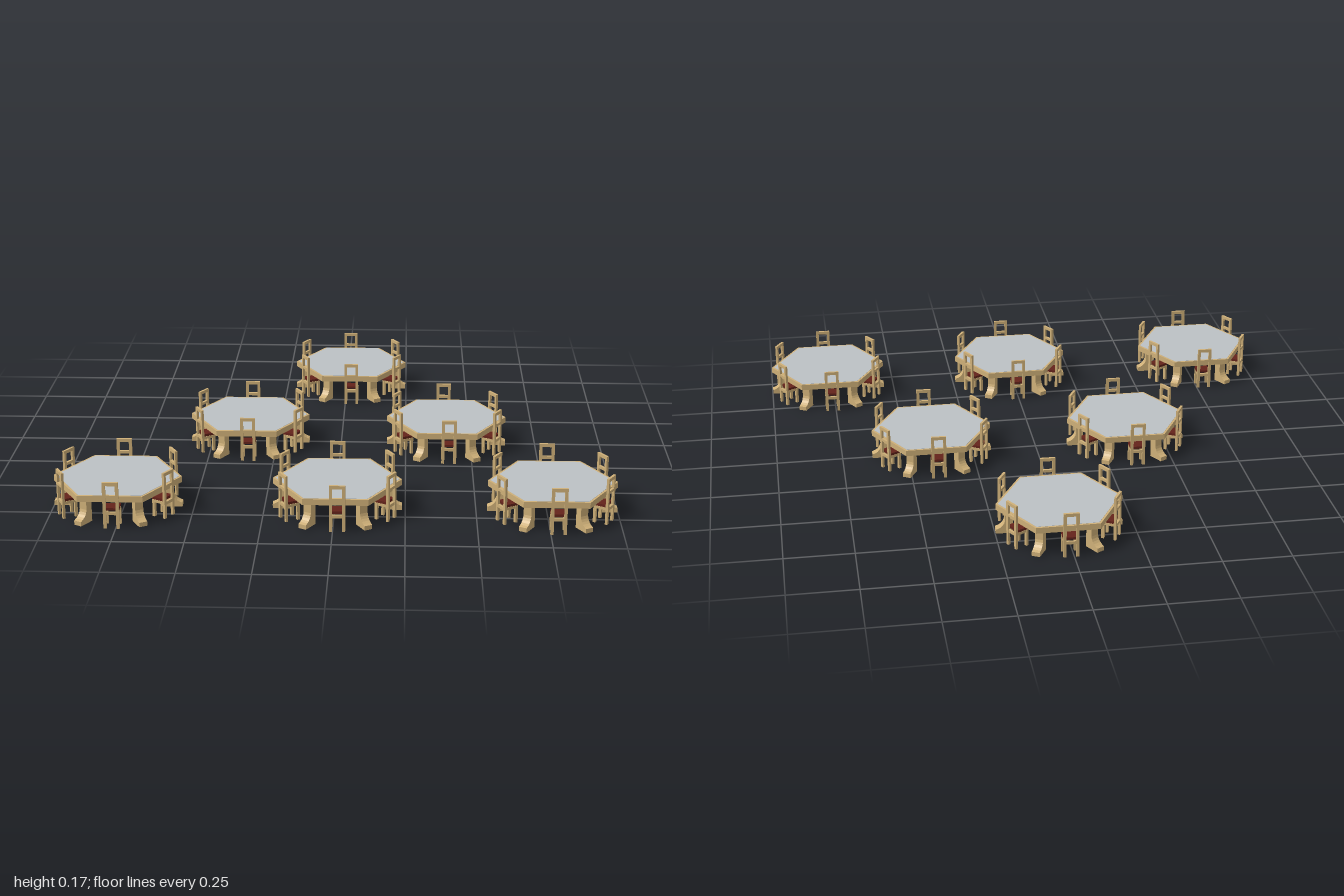
import * as THREE from 'three';

function material(name, color) {
  const m = new THREE.MeshStandardMaterial({ color });
  m.name = name;
  return m;
}

function mesh(name, geometry, mat, x = 0, y = 0, z = 0) {
  const m = new THREE.Mesh(geometry, mat);
  m.name = name;
  m.position.set(x, y, z);
  return m;
}

// Hexagonal slab with corners on the x axis, faceted by its own normals
function hexSlab(radius, height) {
  return new THREE.CylinderGeometry(radius, radius, height, 6).rotateY(Math.PI / 6).toNonIndexed();
}

// Table leg: upright post sweeping out into a foot, running outward along +z
function legGeometry() {
  const s = new THREE.Shape();
  s.moveTo(0.168, 0);
  s.lineTo(0.229, 0);
  s.lineTo(0.229, 0.016);
  s.quadraticCurveTo(0.2, 0.024, 0.196, 0.05);
  s.lineTo(0.196, 0.09);
  s.lineTo(0.168, 0.09);
  s.closePath();
  const g = new THREE.ExtrudeGeometry(s, { depth: 0.03, bevelEnabled: false, curveSegments: 5 });
  return g.translate(0, 0, -0.015).rotateY(-Math.PI / 2);
}

export function createModel() {
  const wood = material('light wood', 0xcfb078);
  const surface = material('grey table surface', 0xbcc1c4);
  const cushion = material('dark red seat', 0x64231a);
  for (const g of [wood, surface]) g.flatShading = false;

  const rim = hexSlab(0.2285, 0.022);
  rim.computeVertexNormals();
  const inlay = hexSlab(0.2195, 0.0236);
  inlay.computeVertexNormals();
  const leg = legGeometry();

  function createChair() {
    const chair = new THREE.Group();
    chair.name = 'chair';
    const bar = (name, w, h, d, x, y, z, mat = wood) =>
      chair.add(mesh(name, new THREE.BoxGeometry(w, h, d), mat, x, y, z));

    // Upright posts, front legs and side rails
    for (const side of [-1, 1]) {
      const x = side * 0.0225;
      bar('backPost', 0.011, 0.17, 0.009, x, 0.085, 0.2175);
      bar('frontLeg', 0.011, 0.064, 0.01, x, 0.032, 0.172);
      bar('sideRail', 0.008, 0.01, 0.036, x, 0.058, 0.195);
    }
    // Back rails and rungs
    bar('topRail', 0.036, 0.012, 0.009, 0, 0.164, 0.2175);
    bar('middleRail', 0.036, 0.01, 0.009, 0, 0.118, 0.2175);
    bar('backRung', 0.036, 0.011, 0.008, 0, 0.056, 0.2175);
    bar('frontRung', 0.036, 0.01, 0.008, 0, 0.058, 0.172);
    // Seat
    bar('seat', 0.054, 0.009, 0.048, 0, 0.0685, 0.189, cushion);
    return chair;
  }

  function createTable(x, z) {
    const table = new THREE.Group();
    table.name = 'tableSet';
    table.position.set(x, 0, z);
    table.add(mesh('tableRim', rim, wood, 0, 0.1, 0));
    table.add(mesh('tableSurface', inlay, surface, 0, 0.1, 0));
    for (let i = 0; i < 6; i++) {
      const angle = (i * Math.PI) / 3;
      // Legs under the corners
      const tableLeg = mesh('tableLeg', leg, wood);
      tableLeg.rotation.y = angle + Math.PI / 6;
      table.add(tableLeg);
      // Chairs along the edges, each slightly off the middle
      const place = new THREE.Group();
      place.name = 'chairPlace';
      place.rotation.y = angle;
      const chair = createChair();
      chair.position.x = 0.007;
      place.add(chair);
      table.add(place);
    }
    return table;
  }

  // Six table sets in rows of one, two and three
  const model = new THREE.Group();
  model.name = 'diningTables';
  const spots = [
    [0.018, -0.669],
    [-0.353, -0.002], [0.406, 0.003],
    [-0.771, 0.667], [0.009, 0.669], [0.769, 0.668],
  ];
  for (const [x, z] of spots) model.add(createTable(x, z));
  return model;
}
